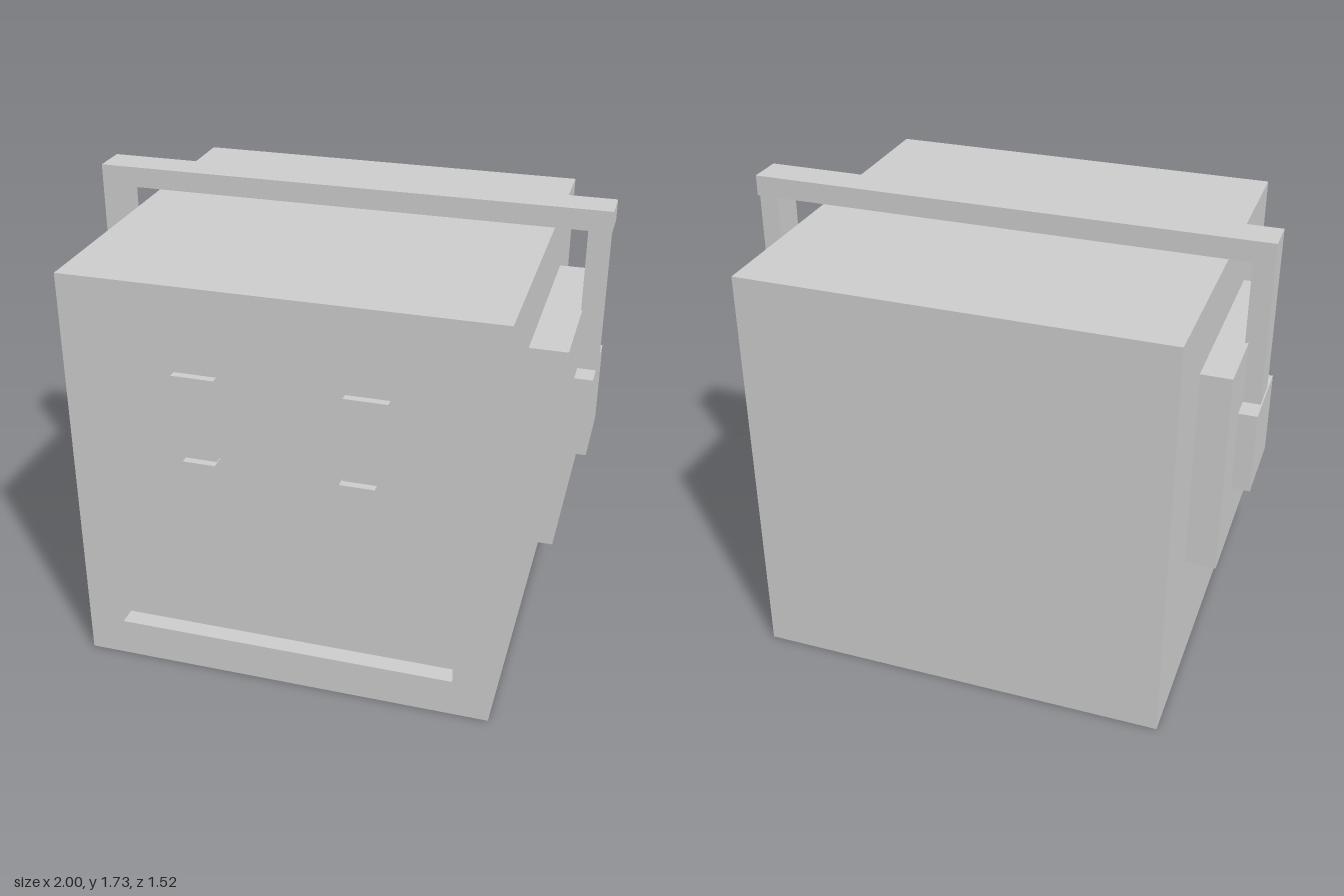
import * as THREE from 'three';

const material = new THREE.MeshStandardMaterial({ color: 0xcccccc, flatShading: true });

// Box given by its limits along each axis
function block(name, [x0, x1], [y0, y1], [z0, z1]) {
  const mesh = new THREE.Mesh(new THREE.BoxGeometry(x1 - x0, y1 - y0, z1 - z0), material);
  mesh.position.set((x0 + x1) / 2, (y0 + y1) / 2, (z0 + z1) / 2);
  mesh.name = name;
  return mesh;
}

function rectangle(Type, x0, x1, y0, y1) {
  return new Type([[x0, y0], [x1, y0], [x1, y1], [x0, y1]].map(([x, y]) => new THREE.Vector2(x, y)));
}

// Cube head whose front is sunk inside a square rim
function createHead() {
  const shape = rectangle(THREE.Shape, -0.815, 0.775, 0, 1.6);
  shape.holes.push(rectangle(THREE.Path, -0.675, 0.635, 0.15, 1.46));
  const rim = new THREE.Mesh(new THREE.ExtrudeGeometry(shape, { depth: 0.07, bevelEnabled: false }), material);
  rim.position.z = 0.69;
  rim.name = 'faceRim';

  const head = new THREE.Group();
  head.name = 'head';
  head.add(block('skull', [-0.815, 0.775], [0, 1.6], [-0.76, 0.69]), rim);
  return head;
}

// Ear pad, hub and the upright that carries the headband
function createEarpiece(name, pad, hub, arm) {
  const group = new THREE.Group();
  group.name = name;
  group.add(
    block('earPad', pad, [0.545, 1.34], [-0.445, 0.355]),
    block('earHub', hub, [0.78, 1.1], [-0.255, 0.065]),
    block('bandUpright', arm, [1.1, 1.65], [-0.165, -0.025]),
  );
  return group;
}

// Tall eye plate with a raised pupil at its foot
function createEye(name, plate, pupil) {
  const group = new THREE.Group();
  group.name = name;
  group.add(
    block('eyePlate', plate, [0.765, 1.24], [0.69, 0.72]),
    block('pupil', pupil, [0.755, 0.915], [0.69, 0.75]),
  );
  return group;
}

export function createModel() {
  const model = new THREE.Group();
  model.name = 'headWithHeadphones';
  model.add(
    createHead(),
    createEye('rightEye', [-0.425, -0.265], [-0.385, -0.262]),
    createEye('leftEye', [0.205, 0.365], [0.2, 0.33]),
    createEarpiece('rightEarpiece', [-0.93, -0.815], [-1, -0.93], [-0.995, -0.917]),
    createEarpiece('leftEarpiece', [0.775, 0.915], [0.915, 0.985], [0.91, 0.985]),
    block('headband', [-0.995, 0.995], [1.65, 1.73], [-0.165, -0.025]),
  );
  return model;
}
